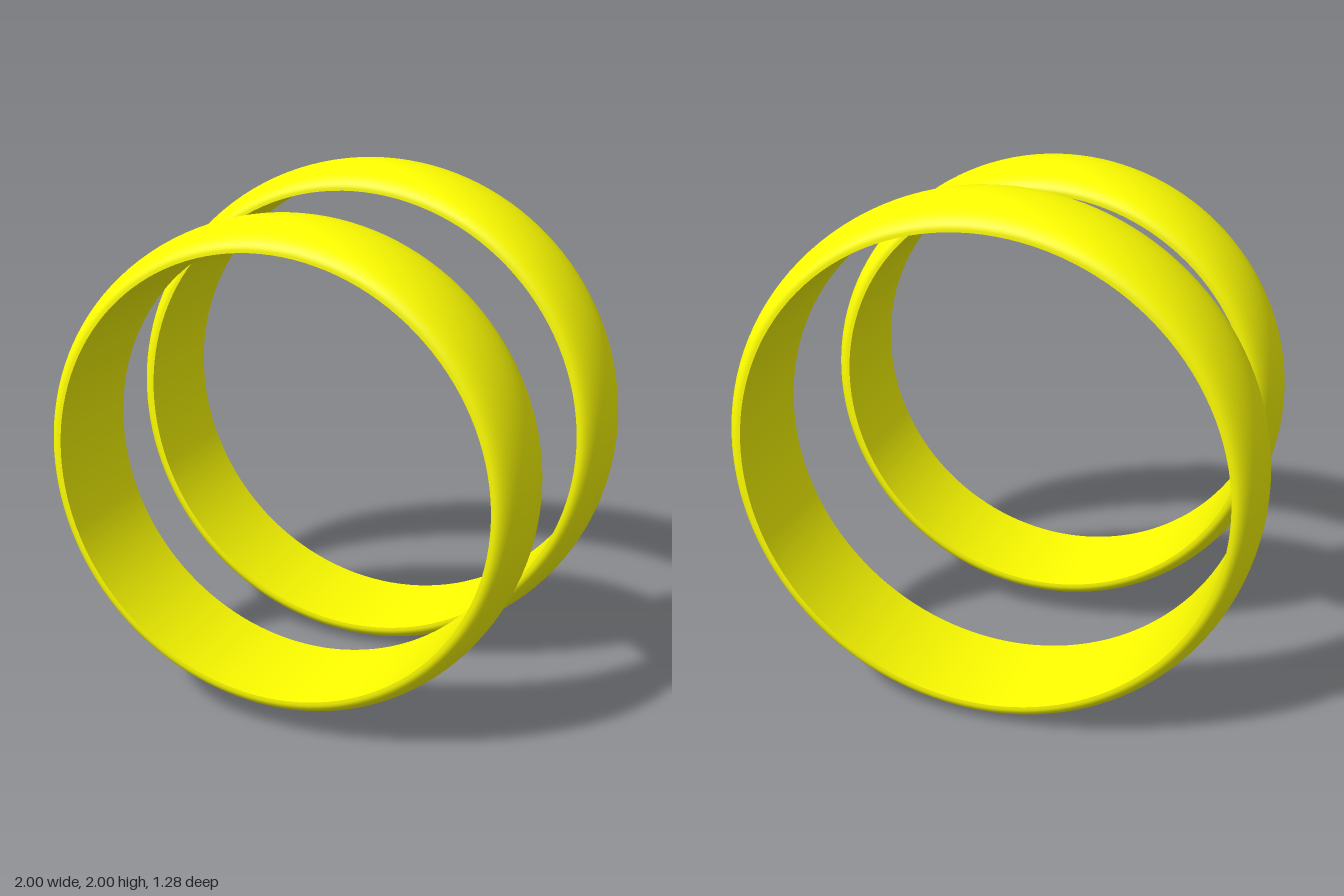
import * as THREE from 'three';

const material = new THREE.MeshStandardMaterial({ color: 0xffff00 });
const HALF_WIDTH = 0.227;
const SEGMENTS = 128;

// A band with a domed outside and a straight bore, its axis along z
function makeRing(name, outerRadius, innerRadius, z) {
  const ring = new THREE.Group();
  ring.name = name;

  // Outside: half an ellipse running from rim to rim, with a thin flat side at each end
  const rimRadius = innerRadius + 0.01;
  const dome = [new THREE.Vector2(innerRadius, -HALF_WIDTH)];
  const steps = 32;
  for (let i = 0; i <= steps; i++) {
    const a = -Math.PI / 2 + (Math.PI * i) / steps;
    dome.push(new THREE.Vector2(
      rimRadius + (outerRadius - rimRadius) * Math.cos(a),
      HALF_WIDTH * Math.sin(a)
    ));
  }
  dome.push(new THREE.Vector2(innerRadius, HALF_WIDTH));

  // Bore: drawn the other way so that it faces the axis
  const bore = [
    new THREE.Vector2(innerRadius, HALF_WIDTH),
    new THREE.Vector2(innerRadius, -HALF_WIDTH),
  ];

  for (const [part, profile] of [['domedOutside', dome], ['bore', bore]]) {
    const mesh = new THREE.Mesh(new THREE.LatheGeometry(profile, SEGMENTS), material);
    mesh.name = part;
    ring.add(mesh);
  }

  ring.rotation.x = Math.PI / 2;
  ring.position.set(0, 1, z);
  return ring;
}

export function createModel() {
  const model = new THREE.Group();
  model.name = 'ringPair';
  model.add(makeRing('smallRing', 0.924, 0.835, 0.415));
  model.add(makeRing('largeRing', 1.0, 0.91, -0.415));
  return model;
}
